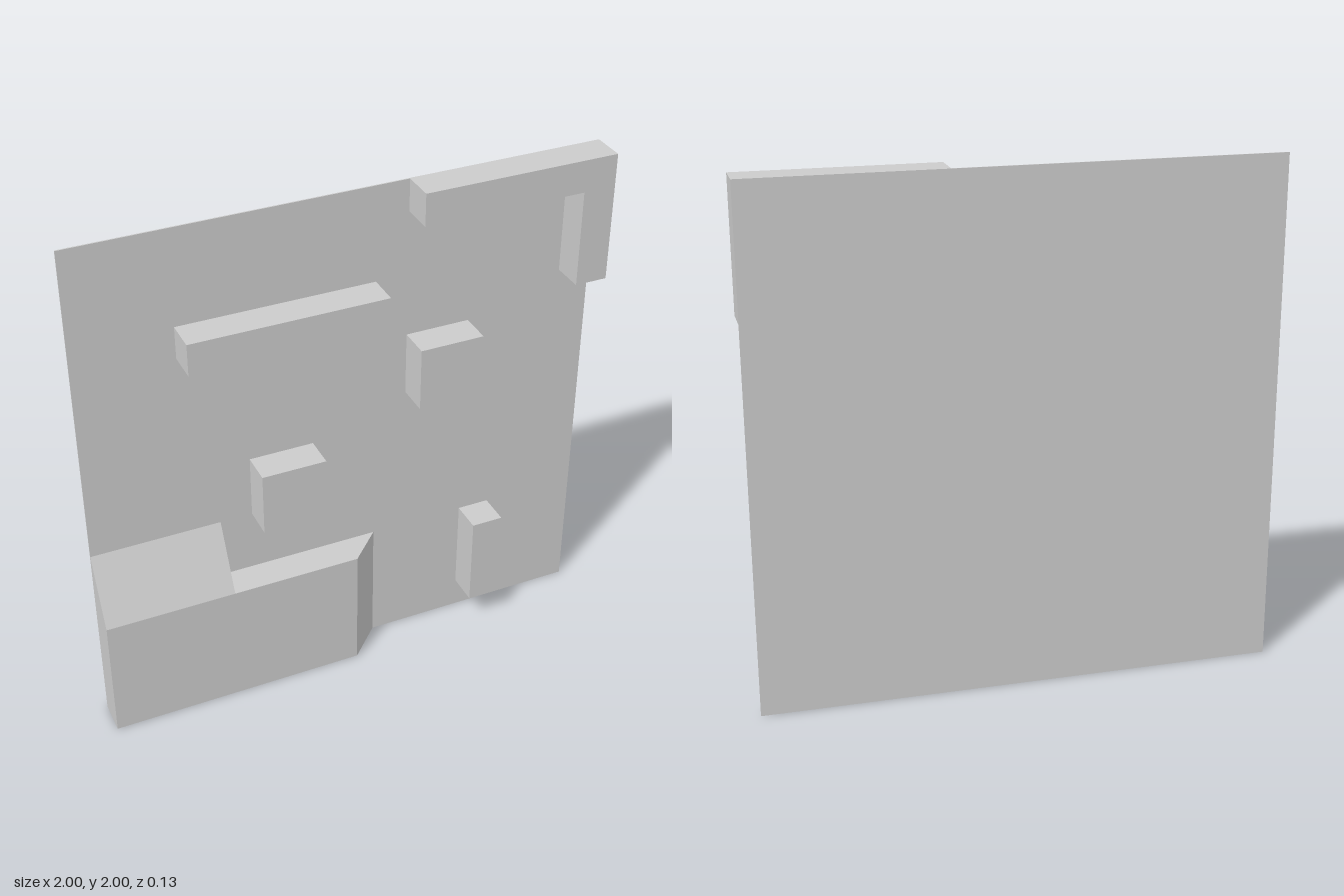
import * as THREE from 'three';

const BACK = -0.065, FACE = -0.06, FRONT = 0.065;
const DEPTH = FRONT - FACE;
const material = new THREE.MeshStandardMaterial({ color: 0xcccccc, flatShading: true });

function addMesh(group, name, geometry) {
  const mesh = new THREE.Mesh(geometry, material);
  mesh.name = name;
  group.add(mesh);
  return mesh;
}

// Box given by its lower and upper limits
function addBox(group, name, x0, x1, y0, y1, z0 = FACE, z1 = FRONT) {
  const mesh = addMesh(group, name, new THREE.BoxGeometry(x1 - x0, y1 - y0, z1 - z0));
  mesh.position.set((x0 + x1) / 2, (y0 + y1) / 2, (z0 + z1) / 2);
}

function extrude(points, depth) {
  const shape = new THREE.Shape(points.map(([x, y]) => new THREE.Vector2(x, y)));
  return new THREE.ExtrudeGeometry(shape, { depth, bevelEnabled: false });
}

export function createModel() {
  const group = new THREE.Group();
  group.name = 'reliefPanel';

  // Thin backing sheet
  addBox(group, 'backPanel', -1, 1, 0, 2, BACK, FACE);

  // Free-standing raised blocks
  addBox(group, 'longBar', -0.625, 0.125, 1.5, 1.625);
  addBox(group, 'upperBlock', 0.25, 0.5, 1.125, 1.375);
  addBox(group, 'middleBlock', -0.375, -0.125, 0.75, 1);
  addBox(group, 'uprightBar', 0.5, 0.625, 0.125, 0.5);

  // L-shaped wall in the upper corner
  const corner = extrude(
    [[0.25, 1.875], [0.875, 1.875], [0.875, 1.5], [1, 1.5], [1, 2], [0.25, 2]], DEPTH);
  addMesh(group, 'cornerWall', corner.translate(0, 0, FACE));

  // Lower platform with a slanted end, drawn in plan (x, -z) and raised in y
  const platform = extrude([[-1, -FRONT], [0, -FRONT], [0.125, -FACE], [-1, -FACE]], 0.5);
  addMesh(group, 'platform', platform.rotateX(-Math.PI / 2));

  // Ramp on the platform, drawn in side profile (-z, y) and swept along x
  const ramp = extrude([[-FRONT, 0.5], [-FACE, 0.5], [-FACE, 0.75]], 0.5);
  addMesh(group, 'ramp', ramp.rotateY(Math.PI / 2).translate(-1, 0, 0));

  return group;
}
